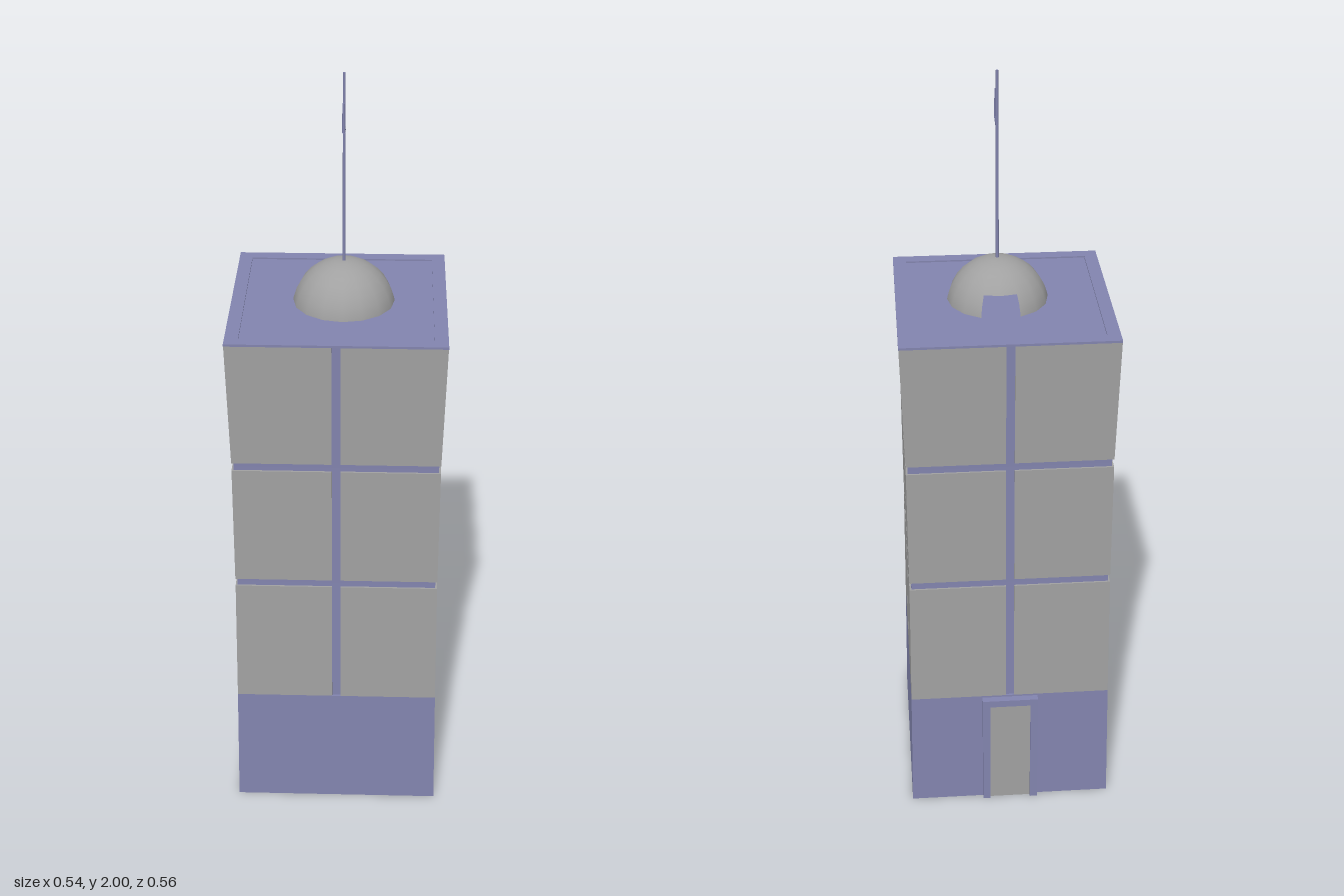
import * as THREE from 'three';

const blue = new THREE.MeshStandardMaterial({ color: 0x8284ae, flatShading: true });
const blueRound = new THREE.MeshStandardMaterial({ color: 0x8284ae });
const grey = new THREE.MeshStandardMaterial({ color: 0xa1a1a1, flatShading: true });
const domeGrey = new THREE.MeshStandardMaterial({ color: 0xa1a1a1, side: THREE.DoubleSide });

const CENTRE_Z = 0.006;

function add(parent, name, geometry, material, x = 0, y = 0, z = 0) {
  const mesh = new THREE.Mesh(geometry, material);
  mesh.name = name;
  mesh.position.set(x, y, z);
  parent.add(mesh);
  return mesh;
}

// Square tower section from [half width, height] pairs
function squareLathe(points) {
  const profile = points.map(([h, y]) => new THREE.Vector2(h * Math.SQRT2, y));
  const geometry = new THREE.LatheGeometry(profile, 4);
  geometry.rotateY(Math.PI / 4);
  return geometry;
}

// Corner block of wall panels: inner faces beside the groove, outer faces tapered
function cornerPanel(y0, y1, half0, half1, groove) {
  const geometry = new THREE.BoxGeometry(1, 1, 1);
  const p = geometry.attributes.position;
  for (let i = 0; i < p.count; i++) {
    const top = p.getY(i) > 0;
    const outer = top ? half1 : half0;
    p.setXYZ(i, p.getX(i) > 0 ? outer : groove, top ? y1 : y0, p.getZ(i) > 0 ? outer : groove);
  }
  return geometry;
}

export function createModel() {
  const model = new THREE.Group();
  model.name = 'observatoryTower';

  const tower = new THREE.Group();
  tower.name = 'tower';
  tower.position.z = CENTRE_Z;
  model.add(tower);

  // Solid ground floor
  add(tower, 'base', squareLathe([[0, 0], [0.272, 0], [0.267, 0.345], [0, 0.345]]), blue);

  // Slightly waisted core, showing in the grooves between panels
  add(tower, 'core', squareLathe([[0.262, 0.345], [0.258, 0.71], [0.258, 1.06], [0.267, 1.405]]), blue);

  // Three storeys of grey panels, one block per corner
  const storeys = [
    [0.345, 0.7, 0.267, 0.263],
    [0.721, 1.05, 0.263, 0.263],
    [1.072, 1.404, 0.263, 0.2715],
  ];
  for (const [y0, y1, half0, half1] of storeys) {
    const panel = cornerPanel(y0, y1, half0, half1, 0.011);
    for (let i = 0; i < 4; i++) {
      add(tower, 'wallPanel', panel, grey).rotation.y = (i * Math.PI) / 2;
    }
  }

  // Roof with a raised rim around a sunken deck
  add(tower, 'roof', squareLathe([
    [0.265, 1.404], [0.272, 1.404], [0.272, 1.41], [0.238, 1.41], [0.238, 1.385], [0, 1.385],
  ]), blue);
  // Deck layer over the panel blocks' tops
  add(tower, 'deck', new THREE.BoxGeometry(0.476, 0.004, 0.476), blue, 0, 1.404, 0);

  // Back door: open frame with a recessed leaf
  const outline = new THREE.Shape([
    [-0.075, 0], [-0.055, 0], [-0.055, 0.32], [0.055, 0.32],
    [0.055, 0], [0.075, 0], [0.075, 0.34], [-0.075, 0.34],
  ].map(([x, y]) => new THREE.Vector2(x, y)));
  const door = new THREE.Group();
  door.name = 'door';
  model.add(door);
  add(door, 'doorFrame', new THREE.ExtrudeGeometry(outline, { depth: 0.025, bevelEnabled: false }), blue, 0, 0, -0.28);
  add(door, 'doorLeaf', new THREE.BoxGeometry(0.11, 0.32, 0.02), grey, 0, 0.16, -0.262);

  // Dome: full cap over a lower ring with an opening at the back
  const dome = new THREE.Group();
  dome.name = 'dome';
  dome.position.set(0.012, 1.387, 0.012);
  model.add(dome);
  const R = 0.13, split = 0.98, gap = Math.PI / 8;
  add(dome, 'domeCap', new THREE.SphereGeometry(R, 16, 5, 0, Math.PI * 2, 0, split), domeGrey);
  add(dome, 'domeWall', new THREE.SphereGeometry(
    R, 14, 3, Math.PI * 1.5 + gap, Math.PI * 2 - 2 * gap, split, Math.PI / 2 - split), domeGrey);

  // Antenna mast with a small hooked branch
  const antenna = new THREE.Group();
  antenna.name = 'antenna';
  antenna.position.set(0.012, 0, 0.014);
  model.add(antenna);
  add(antenna, 'mast', new THREE.CylinderGeometry(0.003, 0.004, 0.49, 8), blueRound, 0, 1.755, 0);
  const arm = add(antenna, 'branchArm', new THREE.CylinderGeometry(0.004, 0.004, 0.049, 8), blueRound, 0, 1.864, 0.023);
  arm.rotation.x = Math.PI / 2 - 0.2;
  add(antenna, 'branchTip', new THREE.CylinderGeometry(0.003, 0.004, 0.072, 8), blueRound, 0, 1.904, 0.046);

  return model;
}
